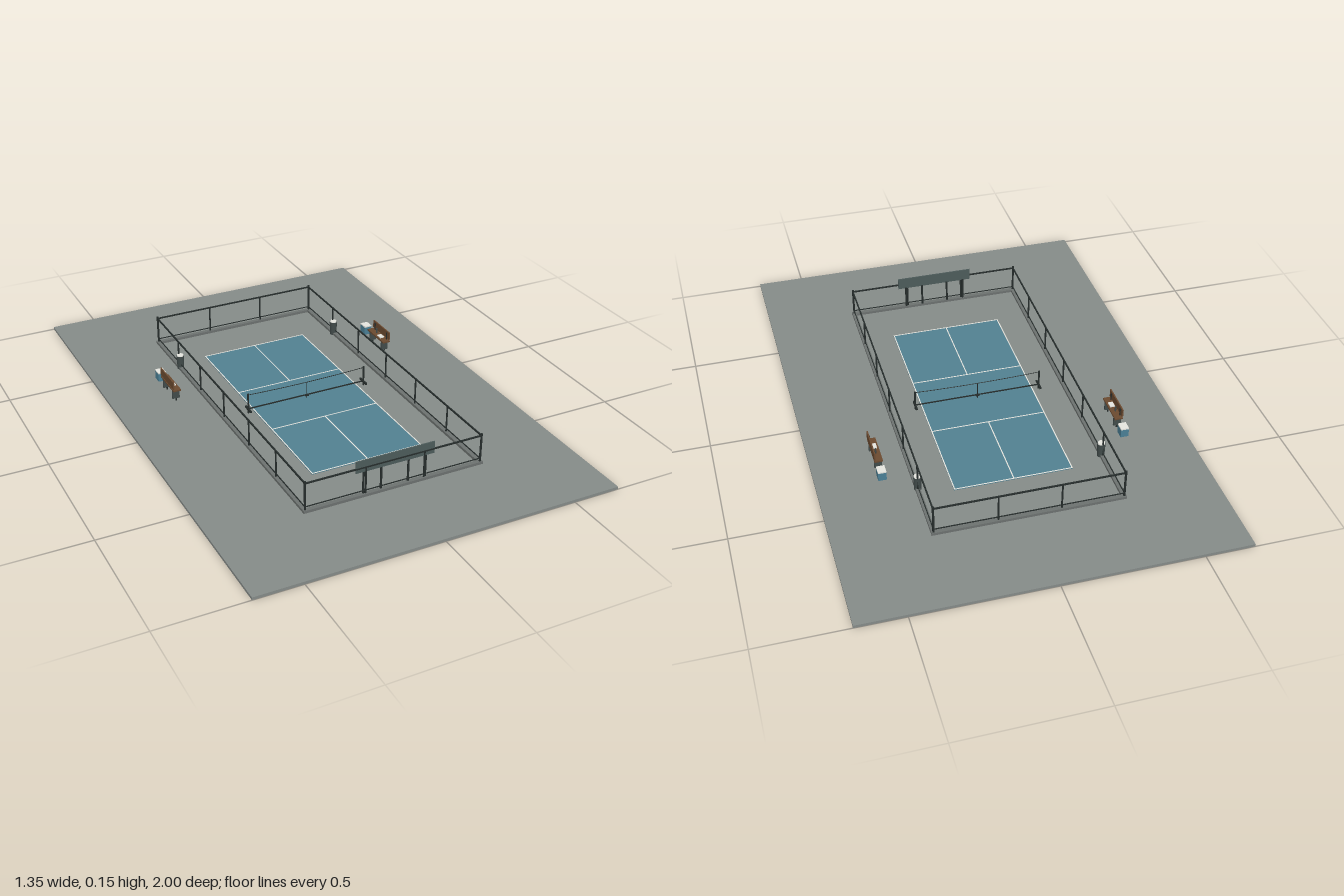
import * as THREE from 'three';

export function createModel() {
  const root = new THREE.Group();
  root.name = 'sportsCourt';
  const mat = (name, color) => {
    const m = new THREE.MeshStandardMaterial({ color });
    m.name = name;
    return m;
  };
  const concrete = mat('concrete', 0x858b88);
  const curbGrey = mat('curb grey', 0x6c716f);
  const courtBlue = mat('court blue', 0x528090);
  const white = mat('line white', 0xe4e4de);
  const metal = mat('dark metal', 0x262d2c);
  const signGreen = mat('sign green', 0x4c5b5a);
  const wood = mat('bench wood', 0x6b4a30);
  const binGrey = mat('bin grey', 0x414b4a);
  const coolerBlue = mat('cooler blue', 0x4a7f95);

  const add = (parent, name, geo, material, x, y, z) => {
    const m = new THREE.Mesh(geo, material);
    m.name = name;
    m.position.set(x, y, z);
    parent.add(m);
    return m;
  };
  const box = (parent, name, material, w, h, d, x, y, z) =>
    add(parent, name, new THREE.BoxGeometry(w, h, d), material, x, y, z);
  const post = (parent, name, material, r, y0, y1, x, z) =>
    add(parent, name, new THREE.CylinderGeometry(r, r, y1 - y0, 10), material, x, (y0 + y1) / 2, z);
  const group = (name, x = 0, y = 0, z = 0) => {
    const g = new THREE.Group();
    g.name = name;
    g.position.set(x, y, z);
    root.add(g);
    return g;
  };

  // Ground slab and playing surface
  const G = 0.01;
  box(root, 'groundSlab', concrete, 1.352, G, 2, 0, G / 2, 0);
  const court = group('court');
  box(court, 'courtSurface', courtBlue, 0.432, 0.003, 0.956, 0, G + 0.0015, 0);

  // Painted lines
  const line = (name, w, d, x, z) => box(court, name, white, w, 0.001, d, x, G + 0.0034, z);
  for (const s of [-1, 1]) {
    line('sideLine', 0.004, 0.956, s * 0.214, 0);
    line('baseLine', 0.432, 0.004, 0, s * 0.476);
    line('serviceLine', 0.432, 0.004, 0, s * 0.15);
    line('centreLine', 0.004, 0.326, 0, s * 0.313);
  }

  // Net frame: posts, feet, lower band and slightly sagging top cord
  const net = group('net');
  for (const s of [-1, 1]) {
    post(net, 'netPost', metal, 0.0035, G, 0.09, s * 0.24, 0);
    box(net, 'netFoot', metal, 0.007, 0.007, 0.05, s * 0.24, 0.026, 0);
  }
  box(net, 'netLowerBand', metal, 0.48, 0.005, 0.002, 0, 0.028, 0);
  box(net, 'netCentreFoot', metal, 0.014, 0.006, 0.008, 0, 0.026, 0);
  post(net, 'netCentreStrap', metal, 0.0012, G, 0.08, 0, 0);
  const cord = new THREE.QuadraticBezierCurve3(
    new THREE.Vector3(-0.24, 0.086, 0), new THREE.Vector3(0, 0.076, 0), new THREE.Vector3(0.24, 0.086, 0));
  add(net, 'netTopCord', new THREE.TubeGeometry(cord, 12, 0.0013, 6), metal, 0, 0, 0);

  // Perimeter fence: curb, rails and posts
  const fence = group('fence');
  const FX = 0.337, FZ = 0.669;
  for (const s of [-1, 1]) {
    box(fence, 'sideCurb', curbGrey, 0.016, 0.01, 2 * FZ + 0.016, s * FX, G + 0.005, 0);
    box(fence, 'endCurb', curbGrey, 2 * FX - 0.016, 0.01, 0.016, 0, G + 0.005, s * FZ);
    for (const [y, t] of [[0.122, 0.005], [0.031, 0.003]]) {
      box(fence, 'sideRail', metal, t, t, 2 * FZ, s * FX, y, 0);
      box(fence, 'endRail', metal, 2 * FX, t, t, 0, y, s * FZ);
    }
    for (let i = -3; i <= 3; i++) {
      const corner = Math.abs(i) === 3;
      post(fence, 'sidePost', metal, corner ? 0.004 : 0.0032, G, corner ? 0.13 : 0.124, s * FX, i * FZ / 3);
    }
    for (const x of [-0.112, 0.112]) post(fence, 'endPost', metal, 0.0032, G, 0.124, x, s * FZ);
  }

  // Sign board on the front fence
  const sign = group('sign');
  box(sign, 'signBoard', signGreen, 0.3, 0.045, 0.005, 0, 0.1275, 0.667);
  for (const x of [-0.119, -0.052, 0.052, 0.119])
    post(sign, 'signPost', metal, 0.004, G, 0.108, x, 0.665);

  for (const s of [-1, 1]) {
    // Litter bin with pale lid
    const bin = group('litterBin', s * 0.335, 0, -0.435);
    add(bin, 'binBody', new THREE.CylinderGeometry(0.015, 0.013, 0.055, 16), binGrey, 0, G + 0.0275, 0);
    add(bin, 'binLid', new THREE.CylinderGeometry(0.0125, 0.0135, 0.004, 16), white, 0, 0.067, 0);

    // Bench facing the court, backrest on the outer side
    const bench = group('bench', s * 0.445, 0, -0.252);
    box(bench, 'benchSeat', wood, 0.03, 0.006, 0.13, 0, 0.06, 0);
    box(bench, 'benchBackrest', wood, 0.005, 0.03, 0.13, s * 0.013, 0.083, 0);
    for (const z of [-0.047, 0.047]) {
      box(bench, 'benchLeg', binGrey, 0.028, 0.036, 0.007, 0, 0.039, z);
      box(bench, 'backSupport', metal, 0.003, 0.03, 0.006, s * 0.0095, 0.077, z);
      post(bench, 'benchFoot', metal, 0.003, G, 0.024, 0, z);
    }

    // Folded towel and bottle on the seat
    box(bench, 'towel', white, 0.018, 0.004, 0.026, 0, 0.065, 0.017);
    post(bench, 'bottle', binGrey, 0.003, 0.063, 0.083, s * 0.002, -0.02);

    // Cooler box with lid
    const cooler = group('cooler', s * 0.446, 0, -0.36);
    box(cooler, 'coolerBody', coolerBlue, 0.03, 0.032, 0.035, 0, 0.041, 0);
    box(cooler, 'coolerLid', white, 0.03, 0.005, 0.036, 0, 0.0595, 0);
  }
  return root;
}
